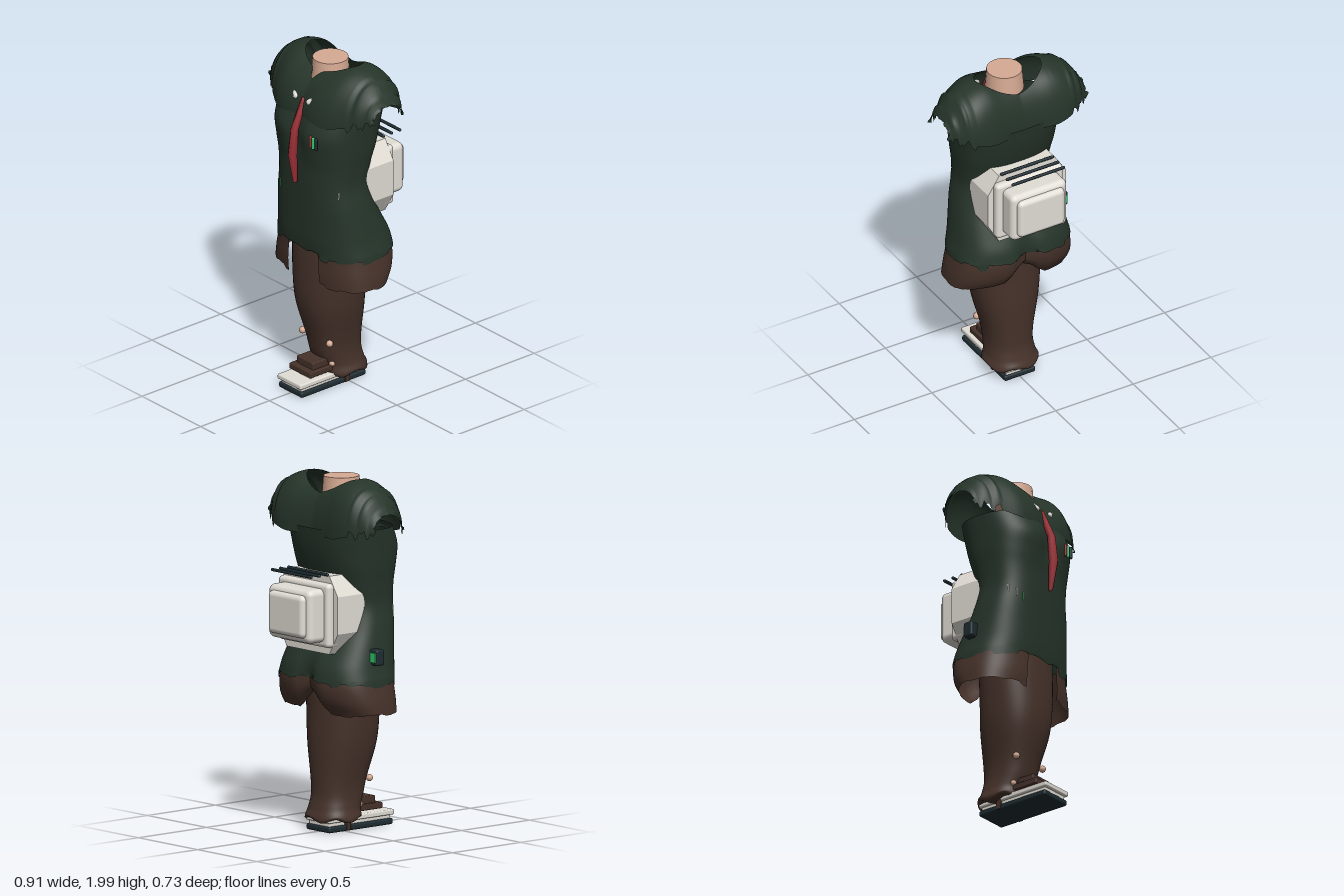
import * as THREE from 'three';
import { mergeVertices } from 'three/addons/utils/BufferGeometryUtils.js';
import { RoundedBoxGeometry } from 'three/addons/geometries/RoundedBoxGeometry.js';

const mat = (name, color, side = THREE.FrontSide) => {
  const m = new THREE.MeshStandardMaterial({ color, side });
  m.name = name;
  return m;
};
const cloth = mat('dark green cloth', 0x26352a, THREE.DoubleSide);
const brown = mat('brown cloth', 0x46322a, THREE.DoubleSide);
const white = mat('off white', 0xe2ded6);
const dark = mat('dark slate', 0x1e2c31);
const red = mat('red', 0x9c3036);
const green = mat('green', 0x2fc86c);
const skin = mat('skin', 0xd6aa93);

// Smooth interpolation through equal-length rows of numbers, t in 0..1
function spline(rows, t) {
  const f = Math.min(t, 0.99999) * (rows.length - 1), i = Math.floor(f), k = f - i;
  const at = (j) => rows[Math.max(0, Math.min(rows.length - 1, j))];
  return rows[0].map((_, c) => {
    const [a, b, d, e] = [at(i - 1)[c], at(i)[c], at(i + 1)[c], at(i + 2)[c]];
    return b + 0.5 * k * (d - a + k * (2 * a - 5 * b + 4 * d - e + k * (3 * (b - d) + e - a)));
  });
}

// Grid surface from fn(u, v) -> [x, y, z], welded and smooth
function surface(nu, nv, fn) {
  const pos = [], idx = [];
  for (let j = 0; j <= nv; j++) for (let i = 0; i <= nu; i++) pos.push(...fn(i / nu, j / nv));
  for (let j = 0; j < nv; j++) for (let i = 0; i < nu; i++) {
    const a = j * (nu + 1) + i, b = a + nu + 1;
    idx.push(a, a + 1, b + 1, a, b + 1, b);
  }
  const raw = new THREE.BufferGeometry();
  raw.setAttribute('position', new THREE.Float32BufferAttribute(pos, 3));
  raw.setIndex(idx);
  const g = mergeVertices(raw, 1e-5);
  g.computeVertexNormals();
  return g;
}

const bell = (x, c, w) => Math.exp(-(((x - c) / w) ** 2));
const rag = (k) => { const s = Math.sin(Math.round(k) * 12.9898) * 43758.5453; return s - Math.floor(s); };

// Point on a squarish oval; row = [y, halfWidth, zFront, zBack], angle 0 faces front
function oval([y, w, zf, zb], a, n = 2.6) {
  const p = (v) => Math.sign(v) * Math.abs(v) ** (2 / n);
  return [w * p(Math.sin(a)), y, (zf + zb) / 2 + ((zf - zb) / 2) * p(Math.cos(a))];
}
// Bust and seat hollows
function hollow(p, a) {
  const c = Math.cos(a), mid = bell(p[0], 0, 0.06);
  p[2] += c > 0 ? -0.03 * mid * bell(p[1], 1.6, 0.14) : mid * 0.045 * bell(p[1], 0.86, 0.14);
  return p;
}

export function createModel() {
  const model = new THREE.Group();
  const add = (name, geo, m, x = 0, y = 0, z = 0) => {
    const mesh = new THREE.Mesh(geo, m);
    mesh.name = name;
    mesh.position.set(x, y, z);
    model.add(mesh);
    return mesh;
  };
  const box = (name, w, h, d, m, x, y, z, r = 0.01) =>
    add(name, new RoundedBoxGeometry(w, h, d, 3, r), m, x, y, z);
  const rod = (name, a, b, r, m) => {
    const A = new THREE.Vector3(...a), B = new THREE.Vector3(...b), d = B.clone().sub(A);
    const mesh = add(name, new THREE.CapsuleGeometry(r, Math.max(d.length() - 2 * r, 0.001), 4, 10), m);
    mesh.position.copy(A).add(B).multiplyScalar(0.5);
    mesh.quaternion.setFromUnitVectors(new THREE.Vector3(0, 1, 0), d.normalize());
  };

  // Tunic body with a torn hem
  const torso = [
    [0.87, 0.355, 0.265, -0.225], [0.95, 0.335, 0.275, -0.21], [1.05, 0.318, 0.28, -0.16],
    [1.17, 0.298, 0.285, -0.10], [1.29, 0.275, 0.29, -0.075], [1.4, 0.28, 0.295, -0.1],
    [1.5, 0.292, 0.31, -0.135], [1.61, 0.3, 0.322, -0.165], [1.72, 0.308, 0.28, -0.182]];
  add('tunic', surface(96, 40, (u, v) => {
    const a = u * Math.PI * 2, p = hollow(oval(spline(torso, v), a), a);
    if (v === 0) p[1] += 0.045 * rag((u % 1) * 32) - 0.035 + 0.04 * bell(p[0], 0, 0.1);
    return p;
  }), cloth);

  // Shoulder yoke with open sleeves: rows of [x, zFront, zBack, crownY, bottomY]
  const yoke = [
    [0, 0.272, -0.16, 1.97, 1.68], [0.1, 0.287, -0.172, 1.98, 1.68], [0.2, 0.272, -0.185, 1.997, 1.68],
    [0.29, 0.225, -0.178, 1.975, 1.7], [0.37, 0.175, -0.14, 1.925, 1.72], [0.44, 0.12, -0.09, 1.825, 1.73]];
  const crown = 0.02;
  const yokeSide = (front) => surface(72, 14, (u, v) => {
    const s = (u * 2 - 1) * (front ? 1 : -1);
    const [x, zf, zb, yt, yb] = spline(yoke, Math.abs(s));
    const reach = (front ? zf : zb) - crown;
    // neck opening, with a small notch at the throat
    let hole = 0.125 * Math.sqrt(Math.max(0, 1 - (x / 0.205) ** 2));
    if (front) hole += 0.045 * bell(x, 0, 0.03);
    const pw = front ? 1 : 0.85;
    const end = Math.acos(Math.min(1, Math.min(1, hole / Math.abs(reach)) ** (1 / pw)));
    const a = v * end;
    const tear = x > 0.3 ? (rag(s * 40) - 0.5) * 0.06 * (1 - v) : 0;
    const fray = Math.abs(s) > 0.999 ? 0.03 * (rag(v * 9) - 0.4) : 0;
    return [Math.sign(s) * (x + fray), yb + tear + (yt - yb) * Math.sin(a) ** pw, crown + reach * Math.cos(a) ** pw];
  });
  add('yokeFront', yokeSide(true), cloth);
  add('yokeBack', yokeSide(false), cloth);

  // Skirt: two flaring panels, open at the front and notched at the back
  const skirt = [[0.685, 0.375, 0.25, -0.15], [0.76, 0.368, 0.258, -0.2], [0.86, 0.348, 0.258, -0.218], [0.97, 0.322, 0.262, -0.19]];
  for (const s of [1, -1]) {
    add(s > 0 ? 'skirtLeft' : 'skirtRight', surface(40, 12, (u, v) => {
      const a = s * (0.26 + (Math.PI - 0.26) * (s > 0 ? u : 1 - u));
      const p = hollow(oval(spline(skirt, v), a), a);
      if (Math.cos(a) < 0) p[1] += (1 - v) * 0.11 * bell(p[0], 0, 0.08);
      if (v === 0) p[1] += 0.02 * (rag(a * 4) - 0.4);
      return p;
    }), brown);
  }

  // Trouser column
  const legs = [
    [0.07, 0.01, 0.01, -0.01], [0.07, 0.148, 0.13, -0.145], [0.13, 0.14, 0.14, -0.135], [0.2, 0.133, 0.165, -0.12],
    [0.3, 0.142, 0.19, -0.12], [0.5, 0.185, 0.243, -0.125], [0.7, 0.205, 0.252, -0.12], [0.95, 0.22, 0.24, -0.12]];
  add('trousers', surface(48, 35, (u, v) => {
    const p = oval(spline(legs, v), u * Math.PI * 2, 2.3);
    p[1] += 0.012 * Math.sin(u * Math.PI * 10) * bell(p[1], 0.07, 0.03);
    return p;
  }), brown);

  // Shoe
  box('sole', 0.2, 0.035, 0.47, dark, 0, 0.0215, 0.115, 0.012);
  box('soleBand', 0.17, 0.03, 0.45, white, 0, 0.048, 0.115, 0.005);
  box('shoeUpper', 0.2, 0.03, 0.48, white, 0, 0.073, 0.118, 0.008);
  box('shoeTongueBase', 0.18, 0.035, 0.17, brown, 0, 0.118, 0.195, 0.006);
  box('shoeTongue', 0.14, 0.045, 0.13, brown, 0, 0.153, 0.178, 0.006);
  box('shoeStrap', 0.208, 0.075, 0.03, brown, 0, 0.045, 0.02, 0.004);
  for (const s of [1, -1]) {
    add('kneeSkin', new THREE.SphereGeometry(0.02, 12, 8), skin, s * 0.115, 0.29, 0.16);
    add('ankleSkin', new THREE.SphereGeometry(0.018, 12, 8), skin, s * 0.085, 0.145, 0.115);
  }

  // Neck
  add('neck', new THREE.CylinderGeometry(0.1, 0.11, 0.12, 20), skin, 0, 1.927, 0.055);

  // Six-sided tie: rows of [y, halfWidth, zFront, zBack]
  const tie = [[1.29, 0.002, 0.322, 0.305], [1.3, 0.011, 0.328, 0.295], [1.47, 0.025, 0.363, 0.3],
    [1.62, 0.022, 0.343, 0.29], [1.77, 0.016, 0.272, 0.235], [1.795, 0.014, 0.262, 0.225], [1.796, 0.001, 0.25, 0.24]];
  add('tie', surface(6, tie.length - 1, (u, v) =>
    oval(tie[Math.round(v * (tie.length - 1))], u * Math.PI * 2, 2)), red);

  // Collar points
  for (const s of [1, -1]) rod('collarPoint', [s * 0.045, 1.78, 0.268], [s * 0.142, 1.855, 0.185], 0.018, white);

  // Breast pocket pens
  [[0.13, red], [0.153, green], [0.177, dark]].forEach(([x, m]) =>
    rod('pen', [x, 1.55, 0.312], [x, 1.625, 0.312], 0.009, m));

  // Pack: chamfered core sunk into the back, then stacked rounded blocks
  const core = new THREE.Shape([[0.25, 1.15], [0.25, 1.36], [0.18, 1.47], [-0.18, 1.47], [-0.25, 1.36],
    [-0.25, 1.15], [-0.18, 1.03], [0.18, 1.03]].map(([x, y]) => new THREE.Vector2(x, y)));
  add('packCore', new THREE.ExtrudeGeometry(core, { depth: 0.34, bevelEnabled: false }), white, 0, 0, -0.19);
  box('packPlate', 0.43, 0.36, 0.1, white, 0, 1.25, -0.18, 0.025);
  box('packBody', 0.36, 0.3, 0.16, white, 0, 1.25, -0.255, 0.035);
  box('packCap', 0.3, 0.24, 0.12, white, 0, 1.25, -0.304, 0.03);
  for (const z of [-0.07, -0.19, -0.25, -0.31]) rod('packBar', [-0.172, 1.476, z], [0.172, 1.476, z], 0.009, dark);

  // Inner shoulder light
  box('shoulderUnit', 0.04, 0.035, 0.04, dark, 0.14, 1.71, -0.085, 0.008);
  box('shoulderLight', 0.008, 0.025, 0.03, green, 0.162, 1.71, -0.085, 0.003);

  // Hip device with a screen on its back
  box('hipDevice', 0.07, 0.09, 0.06, dark, -0.338, 1.012, 0.02, 0.012);
  box('hipScreen', 0.045, 0.055, 0.008, green, -0.343, 1.012, -0.012, 0.003);

  // Waist clips
  for (const [x, y, z, m] of [[-0.25, 1.25, 0.212, white], [-0.215, 1.23, 0.245, white],
    [-0.18, 1.21, 0.263, green], [0.215, 1.28, 0.237, white], [0.25, 1.26, 0.208, white]])
    box('waistClip', 0.008, 0.05, 0.008, m, x, y, z, 0.003);

  return model;
}
